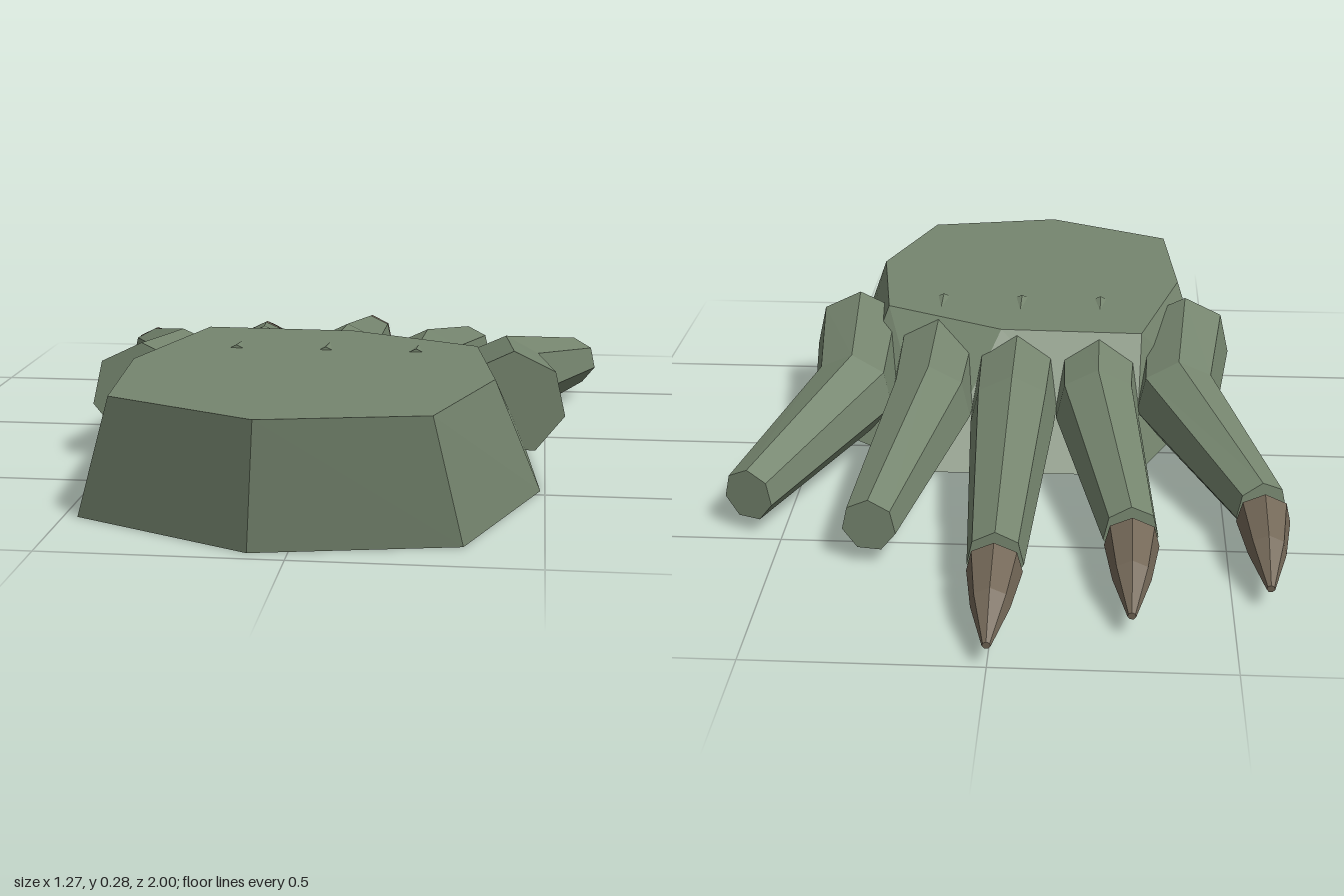
import * as THREE from 'three';

const SIDES = 7;

// Skin a list of cross-sections (each counter-clockwise seen from the first end) and cap both ends
function loft(sections) {
  const pos = [];
  const tri = (a, b, c) => pos.push(...a, ...b, ...c);
  const n = sections[0].length;
  for (let s = 0; s < sections.length - 1; s++) {
    const p = sections[s], q = sections[s + 1];
    for (let i = 0; i < n; i++) {
      const j = (i + 1) % n;
      tri(p[i], q[i], q[j]);
      tri(p[i], q[j], p[j]);
    }
  }
  const first = sections[0], last = sections[sections.length - 1];
  for (let i = 1; i < n - 1; i++) {
    tri(first[0], first[i], first[i + 1]);
    tri(last[0], last[i + 1], last[i]);
  }
  const geo = new THREE.BufferGeometry();
  geo.setAttribute('position', new THREE.Float32BufferAttribute(pos, 3));
  geo.computeVertexNormals();
  return geo;
}

// Seven-sided ring facing along z, turned by yaw and leaned by pitch
function ring(x, y, z, r, yaw = 0, pitch = 0) {
  return Array.from({ length: SIDES }, (_, i) => {
    const a = Math.PI / 2 + (i / SIDES) * Math.PI * 2;
    const u = r * Math.cos(a), v = r * Math.sin(a);
    return [x + u * Math.cos(yaw), y + v, z + u * Math.sin(yaw) - v * pitch];
  });
}

export function createModel() {
  const skin = new THREE.MeshStandardMaterial({ color: 0x76866f, flatShading: true });
  skin.name = 'greenSkin';
  const horn = new THREE.MeshStandardMaterial({ color: 0x746858, flatShading: true });
  horn.name = 'brownClaw';

  const model = new THREE.Group();
  model.name = 'clawedHand';
  const add = (name, geo, mat) => {
    const mesh = new THREE.Mesh(geo, mat);
    mesh.name = name;
    model.add(mesh);
  };

  // Palm: eight-cornered block, wider at the sole
  const top = [[-0.06, 1], [0.28, 0.93], [0.39, 0.6], [0.34, 0.26],
    [0.04, 0.11], [-0.31, 0.1], [-0.41, 0.48], [-0.38, 0.84]];
  const sole = [[-0.08, 0.965], [0.34, 0.88], [0.49, 0.47], [0.45, 0.07],
    [0.19, -0.14], [-0.3, -0.13], [-0.51, 0.34], [-0.47, 0.77]];
  add('palm', loft([
    top.map(([x, z]) => [x, 0.278, z]),
    sole.map(([x, z]) => [x, 0, z]),
  ]), skin);

  // Fingers: base, knuckle and tip rings
  const fingers = [
    { name: 'outerFinger', base: 0.425, knuckle: [0.4, -0.01], tip: [0.575, -0.47], yaw: 0.37, sides: [-1, 1] },
    { name: 'innerFinger', base: 0.205, knuckle: [0.205, -0.07], tip: [0.285, -0.6], yaw: 0.15, sides: [-1, 1] },
    { name: 'middleFinger', base: 0, knuckle: [0, -0.12], tip: [0, -0.73], yaw: 0, sides: [1] },
  ];
  for (const f of fingers) {
    for (const s of f.sides) {
      const label = f.sides.length === 1 ? '' : s > 0 ? 'Left' : 'Right';
      add(f.name + label, loft([
        ring(s * f.base, 0.165, 0.34, 0.12),
        ring(s * f.knuckle[0], 0.147, f.knuckle[1], 0.103, s * f.yaw / 2),
        ring(s * f.tip[0], 0.095, f.tip[1], 0.062, s * f.yaw),
      ]), skin);
    }
  }

  // Claws: three separate pointed nails just beyond the fingertips
  const claws = [['outerClaw', -0.577, -0.503], ['innerClaw', -0.287, -0.628], ['middleClaw', 0, -0.755]];
  for (const [name, x, z] of claws) {
    add(name, loft([
      ring(x, 0.091, z, 0.061, 0, 0.18),
      ring(x, 0.077, z - 0.13, 0.042, 0, 0.18),
      ring(x, 0.05, z - 0.244, 0.009, 0, 0.18),
    ]), horn);
  }
  return model;
}
